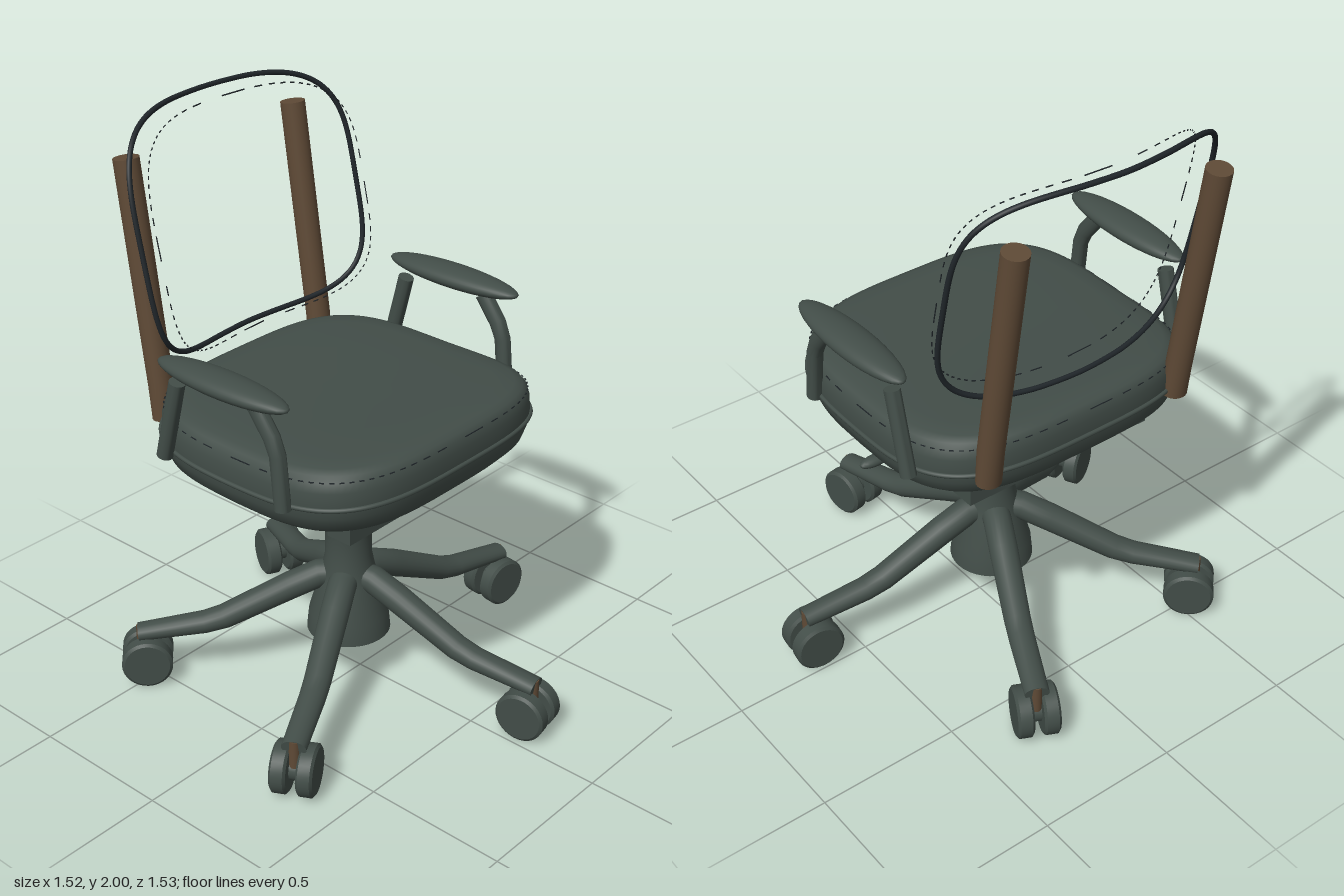
import * as THREE from 'three';
import { toCreasedNormals, mergeGeometries } from 'three/addons/utils/BufferGeometryUtils.js';

const V = (x, y, z) => new THREE.Vector3(x, y, z);

// Skin a list of equal-length rings, counter-clockwise about their direction, and cap both ends.
function loft(rings, crease = 0.7) {
  const n = rings[0].length, pos = [], idx = [];
  rings.forEach(r => r.forEach(p => pos.push(p.x, p.y, p.z)));
  for (let i = 0; i < rings.length - 1; i++) {
    for (let j = 0; j < n; j++) {
      const a = i * n + j, b = i * n + (j + 1) % n;
      idx.push(a, b, b + n, a, b + n, a + n);
    }
  }
  [0, rings.length - 1].forEach((r, end) => {
    const c = rings[r].reduce((s, p) => s.add(p), V(0, 0, 0)).divideScalar(n);
    const ci = pos.length / 3;
    pos.push(c.x, c.y, c.z);
    for (let j = 0; j < n; j++) {
      const a = r * n + j, b = r * n + (j + 1) % n;
      idx.push(ci, end ? a : b, end ? b : a);
    }
  });
  const g = new THREE.BufferGeometry();
  g.setAttribute('position', new THREE.Float32BufferAttribute(pos, 3));
  g.setIndex(idx);
  return toCreasedNormals(g, crease);
}

// Bar through [x, y, half width, half height] stations in the XY plane.
function sweep(stations, sides = 20) {
  return loft(stations.map(([x, y, w, h], i) => {
    const p = stations[Math.max(i - 1, 0)], q = stations[Math.min(i + 1, stations.length - 1)];
    const d = V(q[0] - p[0], q[1] - p[1], 0).normalize();
    return Array.from({ length: sides }, (_, k) => {
      const t = k / sides * Math.PI * 2, c = Math.cos(t) * h;
      return V(x - d.y * c, y + d.x * c, Math.sin(t) * w);
    });
  }));
}

// Rounded-square coordinates in [-1, 1].
function squircle(t, n) {
  const f = v => Math.sign(v) * Math.pow(Math.abs(v), 2 / n);
  return [f(Math.sin(t)), f(Math.cos(t))];
}

const seatPoint = (t, s, y) => {
  const [u, v] = squircle(t, 3.5);
  return V(u * s * 0.553, y + 0.03 * v * v * s * s, v * s * 0.505 - 0.025);
};

// Backrest outline: leans back and wraps forward at the sides.
const backPoint = (t, s, forward) => {
  const [u, v] = squircle(t, 4);
  const y = 1.6 + v * (0.4 * s - 0.009), x = u * s;
  return V(x * 0.495, y, -0.465 - 0.22 * (y - 1.2) + 0.125 * x * x + forward);
};

function loopTube(fn, radius) {
  const pts = Array.from({ length: 64 }, (_, i) => fn(i / 64 * Math.PI * 2));
  return new THREE.TubeGeometry(new THREE.CatmullRomCurve3(pts, true), 200, radius, 8, true);
}

function stitches(fn, count) {
  return mergeGeometries(Array.from({ length: count }, (_, i) => {
    const a = fn(i / count * Math.PI * 2), b = fn((i + 0.5) / count * Math.PI * 2);
    return new THREE.TubeGeometry(new THREE.LineCurve3(a, b), 1, 0.0025, 4);
  }));
}

export function createModel() {
  const fabric = new THREE.MeshStandardMaterial({ color: 0x424d48 });
  fabric.name = 'dark grey green';
  const brown = new THREE.MeshStandardMaterial({ color: 0x5f4a36 });
  brown.name = 'brown';
  const trim = new THREE.MeshStandardMaterial({ color: 0x20262a });
  trim.name = 'near black';

  const model = new THREE.Group();
  model.name = 'officeChair';
  const chair = new THREE.Group();
  chair.name = 'chair';
  chair.position.x = -0.035;
  model.add(chair);
  const add = (name, geometry, material, parent = chair) => {
    const m = new THREE.Mesh(geometry, material);
    m.name = name;
    parent.add(m);
    return m;
  };

  // Seat cushion, its piping and stitching
  const layers = [[0.4, 0.865], [0.8, 0.865], [0.9, 0.873], [0.955, 0.9], [0.98, 0.94], [0.99, 0.978],
    [0.985, 1.03], [0.97, 1.062], [0.945, 1.08], [0.9, 1.091], [0.8, 1.097], [0.5, 1.1], [0.2, 1.1]];
  add('seat', loft(layers.map(([s, y]) =>
    Array.from({ length: 96 }, (_, k) => seatPoint(k / 96 * Math.PI * 2, s, y))), 0.9), fabric);
  add('seatPiping', loopTube(t => seatPoint(t, 0.993, 0.975), 0.008), fabric);
  add('seatStitching', stitches(t => seatPoint(t, 0.973, 1.064), 72), trim);

  // Backrest frame and stitching
  add('backFrame', loopTube(t => backPoint(t, 1, 0), 0.009), trim);
  add('backStitching', stitches(t => backPoint(t, 0.955, 0.07), 72), trim);

  // Back posts and armrests on both sides
  const postShape = sweep([[-0.495, 0.98, 0.043, 0.038], [-0.505, 1.1, 0.043, 0.043],
    [-0.535, 1.31, 0.043, 0.043], [-0.612, 1.855, 0.043, 0.043]]).rotateY(-Math.PI / 2);
  const frontStrut = sweep([[0.205, 0.97, 0.026, 0.028], [0.188, 1.15, 0.026, 0.028],
    [0.165, 1.205, 0.026, 0.03], [0.1, 1.29, 0.026, 0.03]]).rotateY(-Math.PI / 2);
  const rearStrut = sweep([[-0.315, 0.97, 0.026, 0.028], [-0.24, 1.255, 0.026, 0.028]]).rotateY(-Math.PI / 2);
  const pad = new THREE.SphereGeometry(1, 32, 20).scale(0.067, 0.036, 0.275);
  for (const [side, s] of [['left', 1], ['right', -1]]) {
    add(side + 'BackPost', postShape, brown).position.x = 0.38 * s;
    add(side + 'FrontArmStrut', frontStrut, fabric).position.x = 0.55 * s;
    add(side + 'RearArmStrut', rearStrut, fabric).position.x = 0.55 * s;
    add(side + 'ArmPad', pad, fabric).position.set(0.555 * s, 1.318, -0.035);
  }

  // Bars under the seat
  for (const [name, z] of [['frontSeatBar', 0.265], ['rearSeatBar', -0.335]]) {
    add(name, new THREE.BoxGeometry(0.73, 0.06, 0.095), fabric).position.set(0, 0.83, z);
  }

  // Height lever
  const from = V(0.08, 0.785, 0.0), to = V(0.37, 0.69, 0.105);
  add('lever', new THREE.TubeGeometry(new THREE.LineCurve3(from, to), 1, 0.012, 10), fabric);
  const paddle = add('leverPaddle', new THREE.SphereGeometry(1, 20, 12), fabric);
  paddle.scale.set(0.06, 0.019, 0.025);
  paddle.position.set(0.39, 0.686, 0.11);

  // Base: column and five legs on twin-wheel casters
  const base = new THREE.Group();
  base.name = 'base';
  base.position.z = -0.022;
  chair.add(base);
  const profile = [[0, 0.18], [0.145, 0.18], [0.138, 0.25], [0.1, 0.38], [0.08, 0.48], [0.08, 0.56],
    [0.088, 0.63], [0.12, 0.73], [0.135, 0.78], [0.14, 0.815], [0, 0.815]];
  add('column', toCreasedNormals(new THREE.LatheGeometry(
    profile.map(p => new THREE.Vector2(...p)), 36), 0.7), fabric, base);

  const legShape = sweep([[0.02, 0.405, 0.05, 0.045], [0.1, 0.395, 0.05, 0.048], [0.2, 0.35, 0.05, 0.048],
    [0.43, 0.235, 0.046, 0.042], [0.5, 0.215, 0.045, 0.038], [0.73, 0.185, 0.042, 0.028]]);
  const wheelShape = toCreasedNormals(new THREE.LatheGeometry(
    [[0, -0.028], [0.078, -0.028], [0.088, -0.02], [0.088, 0.02], [0.078, 0.028], [0, 0.028]]
      .map(p => new THREE.Vector2(...p)), 32).rotateX(Math.PI / 2), 0.5);
  const axleShape = new THREE.CylinderGeometry(0.04, 0.04, 0.06, 20).rotateX(Math.PI / 2);
  const stemShape = new THREE.CylinderGeometry(0.02, 0.02, 0.1, 16);
  for (let i = 0; i < 5; i++) {
    const leg = new THREE.Group();
    leg.name = 'leg' + (i + 1);
    leg.rotation.y = -THREE.MathUtils.degToRad(8 + 72 * i);
    base.add(leg);
    add('legBar', legShape, fabric, leg);
    add('casterStem', stemShape, brown, leg).position.set(0.718, 0.16, 0);
    add('casterAxle', axleShape, fabric, leg).position.set(0.703, 0.088, 0);
    for (const s of [-1, 1]) {
      add('casterWheel', wheelShape, fabric, leg).position.set(0.703, 0.088, 0.044 * s);
    }
  }
  return model;
}
